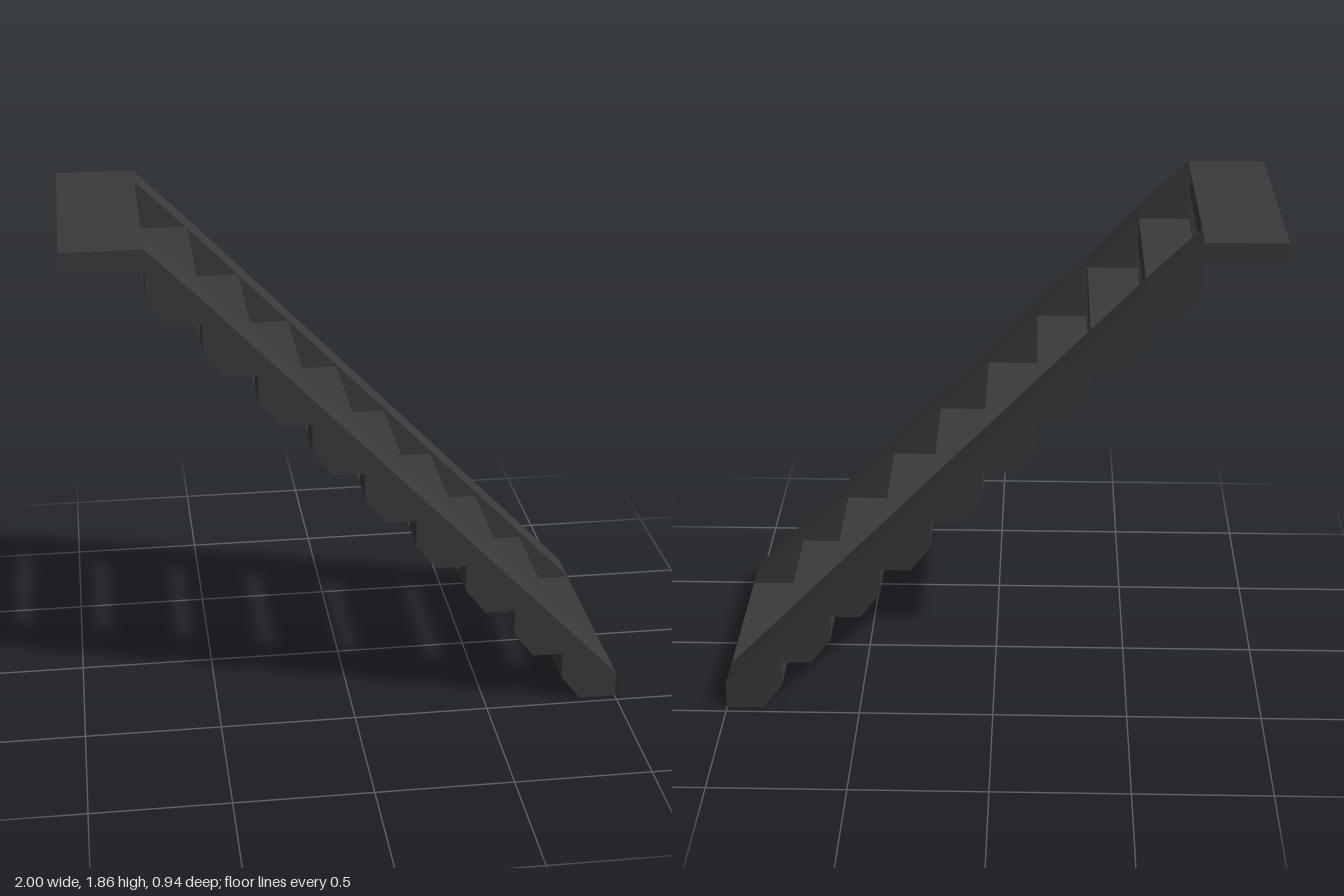
import * as THREE from 'three';

const STEPS = 9, RISE = 1.775 / 9, RUN = 0.188;
const X0 = -0.715, TREAD = 0.097, CHAMFER = 0.075;
const INNER = 0.32, OUTER = 0.47, LANDING_Y = 1.775, TOP = 1.855;

export function createModel() {
  const group = new THREE.Group();
  const charcoal = new THREE.MeshStandardMaterial({ color: 0x3a3a3a });
  charcoal.name = 'charcoal';

  // Extrude an x/y profile between two z positions
  function slab(name, points, z0, z1) {
    const shape = new THREE.Shape(points.map(([x, y]) => new THREE.Vector2(x, y)));
    const geometry = new THREE.ExtrudeGeometry(shape, { depth: z1 - z0, bevelEnabled: false });
    geometry.translate(0, 0, z0);
    const mesh = new THREE.Mesh(geometry, charcoal);
    mesh.name = name;
    group.add(mesh);
  }

  // Back x, front x and underside y of each step, counted from the top
  const step = (i) => ({
    back: X0 + i * RUN,
    front: i === STEPS - 1 ? 1 : X0 + (i + 1) * RUN,
    bottom: LANDING_Y - (i + 1) * RISE,
  });

  // Side stringers: straight upper edge, stepped and chamfered underside
  const profile = [[X0, TOP], [X0, LANDING_Y]];
  for (let i = 0; i < STEPS; i++) {
    const { back, front, bottom } = step(i);
    profile.push([back, bottom + TREAD], [back + CHAMFER, bottom], [front, bottom]);
  }
  profile.push([1, 0.1], [-0.53, 1.673]);
  slab('leftStringer', profile, INNER, OUTER);
  slab('rightStringer', profile, -OUTER, -INNER);

  // Open treads between the stringers
  for (let i = 0; i < STEPS; i++) {
    const { back, front, bottom } = step(i);
    slab('tread' + (i + 1), [
      [back, bottom + TREAD], [back + CHAMFER, bottom],
      [front, bottom], [front, bottom + TREAD],
    ], -INNER, INNER);
  }

  // Upper landing
  slab('landing', [[-1, LANDING_Y], [X0, LANDING_Y], [X0, TOP], [-1, TOP]], -OUTER, OUTER);

  return group;
}
